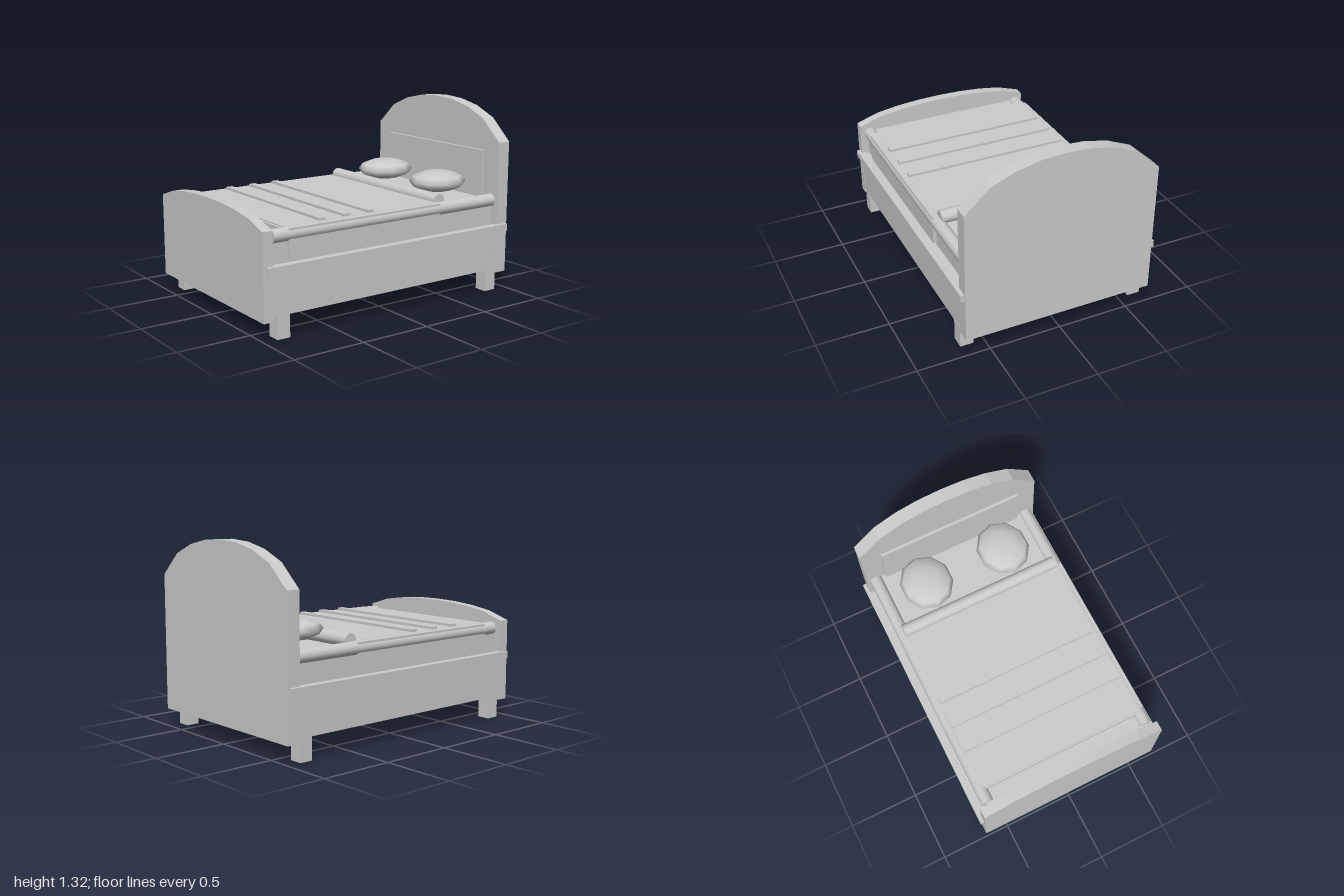
import * as THREE from 'three';

const material = new THREE.MeshStandardMaterial({ color: 0xcccccc });

export function createModel() {
  const bed = new THREE.Group();
  bed.name = 'bed';

  const add = (name, geometry, x = 0, y = 0, z = 0) => {
    const mesh = new THREE.Mesh(geometry, material);
    mesh.name = name;
    mesh.position.set(x, y, z);
    bed.add(mesh);
    return mesh;
  };

  // Box given by its extents on each axis
  const box = (name, x0, x1, y0, y1, z0, z1) =>
    add(name, new THREE.BoxGeometry(x1 - x0, y1 - y0, z1 - z0),
      (x0 + x1) / 2, (y0 + y1) / 2, (z0 + z1) / 2);

  // End board with a faceted arched top
  const archedBoard = (name, shoulder, rise, z0, z1) => {
    const w = 0.667;
    const heights = [0, 0.566, 0.83, 0.963, 1, 0.963, 0.83, 0.566, 0];
    const shape = new THREE.Shape();
    shape.moveTo(-w, 0.12);
    shape.lineTo(w, 0.12);
    heights.forEach((h, i) => shape.lineTo(w - (i * w) / 4, shoulder + h * rise));
    shape.closePath();
    add(name, new THREE.ExtrudeGeometry(shape, { depth: z1 - z0, bevelEnabled: false }), 0, 0, z0);
  };

  // Headboard, its raised panel and the footboard
  archedBoard('headboard', 1.05, 0.265, -1, -0.905);
  box('headboardPanel', -0.525, 0.525, 0.5, 0.98, -0.91, -0.885);
  archedBoard('footboard', 0.69, 0.093, 0.93, 1);

  // Base and mattress
  box('base', -0.665, 0.665, 0.15, 0.46, -0.91, 0.935);
  box('mattress', -0.61, 0.61, 0.45, 0.645, -0.91, 0.932);

  // Blanket top, foot drape and raised stripes
  box('blanket', -0.6, 0.6, 0.64, 0.683, -0.41, 0.807);
  box('blanketFootDrape', -0.575, 0.575, 0.48, 0.675, 0.8, 0.822);
  for (const z of [0.138, 0.328, 0.518]) {
    box('blanketStripe', -0.59, 0.59, 0.68, 0.7, z - 0.024, z + 0.024);
  }

  // Rolled fold of the blanket
  add('blanketRoll', new THREE.CylinderGeometry(0.046, 0.046, 1.185, 12), 0, 0.688, -0.434)
    .rotation.z = Math.PI / 2;

  // Parts mirrored on both sides
  for (const side of [-1, 1]) {
    const sideBox = (name, inner, outer, ...rest) =>
      box(name, Math.min(side * inner, side * outer), Math.max(side * inner, side * outer), ...rest);

    sideBox('sideRail', 0.64, 0.693, 0.42, 0.47, -0.985, 0.98);
    sideBox('blanketSideDrape', 0.6, 0.635, 0.48, 0.678, -0.41, 0.792);
    sideBox('rearLeg', 0.575, 0.667, 0, 0.16, -0.905, -0.813);
    sideBox('frontLeg', 0.575, 0.667, 0, 0.16, 0.813, 0.905);

    // Padded edge running along the mattress
    add('mattressEdge', new THREE.CylinderGeometry(0.045, 0.045, 1.81, 12), side * 0.6, 0.637, 0)
      .rotation.x = Math.PI / 2;

    // Pillow
    const pillow = new THREE.SphereGeometry(1, 10, 6);
    pillow.rotateY(Math.PI / 2);
    pillow.scale(0.187, 0.074, 0.208);
    add('pillow', pillow, side * 0.3, 0.753, -0.67);
  }

  return bed;
}
